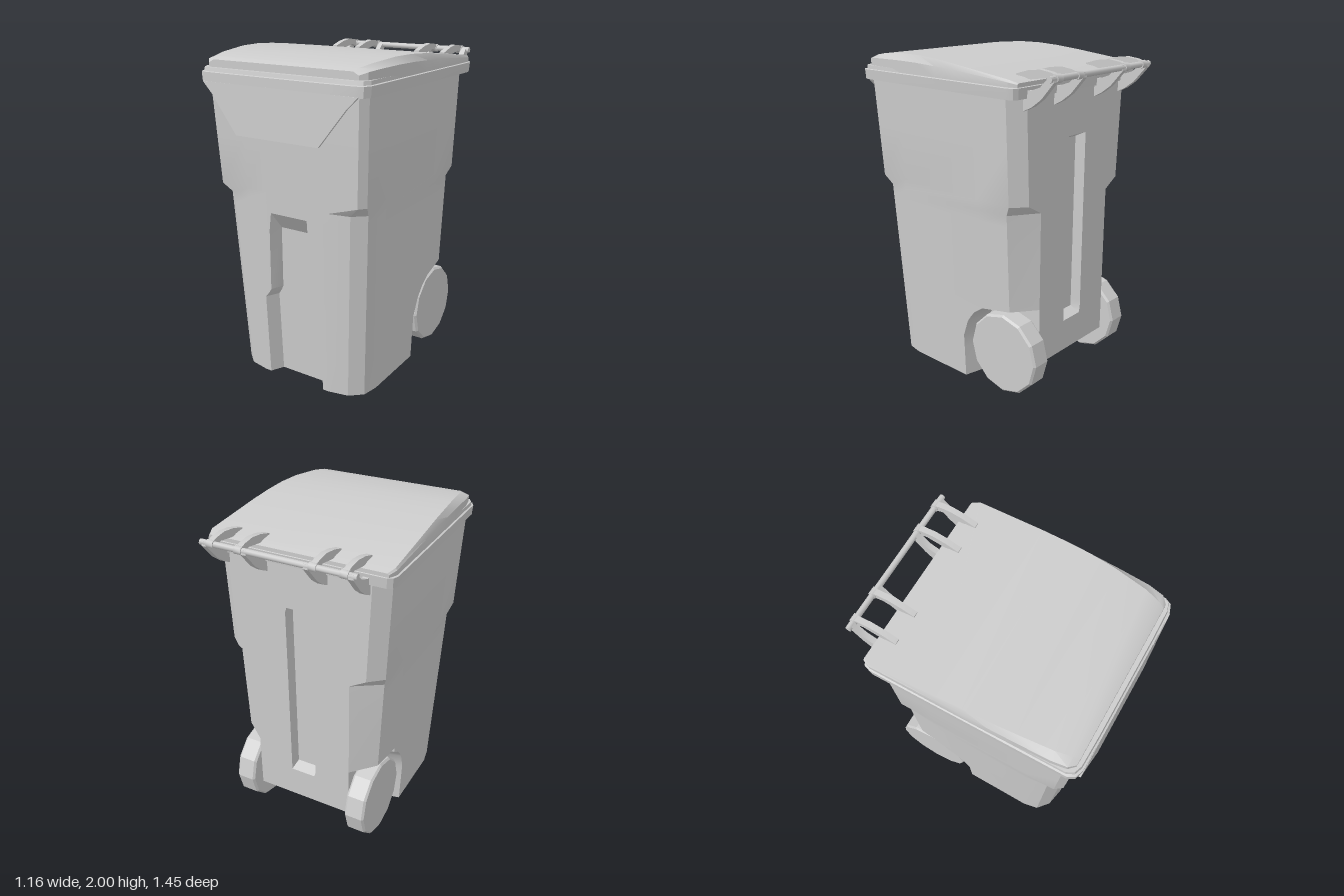
import * as THREE from 'three';
import { toCreasedNormals } from 'three/addons/utils/BufferGeometryUtils.js';

const material = new THREE.MeshStandardMaterial({ color: 0xcccccc });

function add(parent, name, geometry, x = 0, y = 0, z = 0, crease = 0.45) {
  const mesh = new THREE.Mesh(toCreasedNormals(geometry, crease), material);
  mesh.name = name;
  mesh.position.set(x, y, z);
  parent.add(mesh);
  return mesh;
}

// Skin matching loops of [x, y, z] and close both ends; flat() projects a point for the caps.
function loft(loops, flat) {
  const n = loops[0].length;
  const index = [];
  for (let r = 0; r < loops.length - 1; r++) {
    for (let i = 0; i < n; i++) {
      const a = r * n + i, b = r * n + (i + 1) % n;
      index.push(a, b, b + n, a, b + n, a + n);
    }
  }
  const cap = (loop, base, flip) => {
    const tris = THREE.ShapeUtils.triangulateShape(loop.map((p) => new THREE.Vector2(...flat(p))), []);
    for (const [a, b, c] of tris) index.push(base + a, base + (flip ? c : b), base + (flip ? b : c));
  };
  cap(loops[0], 0, true);
  cap(loops[loops.length - 1], (loops.length - 1) * n, false);
  const geometry = new THREE.BufferGeometry();
  geometry.setAttribute('position', new THREE.Float32BufferAttribute(loops.flat(2), 3));
  geometry.setIndex(index);
  return geometry;
}

// Complete a half outline (x > 0) with its mirror image.
const mirrored = (half) => [...half, ...half.map(([x, y, z]) => [-x, y, z]).reverse()];
const fromAbove = ([x, , z]) => [x, -z];
const fromFront = ([x, y]) => [x, y];

// One horizontal section of the bin: front channel, front corner, rear corner or wheel well, rear slot.
function bodySection([y, floorX, edgeX, depth, slot, wellZ]) {
  const xs = 0.46 + 0.041 * y, zf = 0.59 + 0.044 * y;
  const zb = y === 0 ? -0.3 : -0.53;
  const front = y > 1.2
    ? [[0.28, zf], [xs - 0.035, zf], [xs, zf - 0.045], [xs, 0.4]]
    : [[0.24 + 0.035 * y, zf], [xs - 0.095, zf - 0.025], [xs - 0.02, zf - 0.09], [xs, 0.4]];
  let back;
  if (wellZ) back = [[xs, wellZ], [0.32, wellZ - 0.035], [0.32, zb]];
  else if (y > 1.2) back = [[xs, -0.22], [xs, -0.455], [xs - 0.085, zb]];
  else back = [[xs, -0.22], [xs - 0.02, -0.42], [0.32, zb]];
  const half = [[floorX, zf - depth], [edgeX, zf], ...front, ...back, [0.085, zb], [0.075, zb + slot]];
  return mirrored(half.map(([x, z]) => [x, y, z]));
}

// Rounded outline of the lid rim.
function rimSection([y, x, zf, zb]) {
  const f = x - 0.012;
  return mirrored([
    [0.3, zf], [f - 0.07, zf - 0.004], [f - 0.025, zf - 0.02], [f - 0.004, zf - 0.06],
    [x, zb + 0.05], [x - 0.012, zb + 0.015], [x - 0.04, zb],
  ].map(([px, pz]) => [px, y, pz]));
}

// Plate with a side outline of [z, y] points.
function plate(outline, width) {
  const shape = new THREE.Shape(outline.map((p) => new THREE.Vector2(...p)));
  return new THREE.ExtrudeGeometry(shape, { depth: width, bevelEnabled: false })
    .translate(0, 0, -width / 2).rotateY(-Math.PI / 2);
}

export function createModel() {
  const model = new THREE.Group();
  model.name = 'wheeledBin';

  // Body: height, channel floor x, channel edge x, channel depth, slot depth, wheel well front z
  const sections = [
    [0, 0.16, 0.2, 0.08, 0, -0.05],
    [0.2, 0.16, 0.2, 0.08, 0, -0.05],
    [0.29, 0.16, 0.2, 0.08, 0, -0.05],
    [0.4, 0.16, 0.2, 0.08, 0, -0.09],
    [0.43, 0.16, 0.2, 0.08, 0.065, -0.11],
    [0.48, 0.16, 0.2, 0.08, 0.065, -0.15],
    [0.53, 0.16, 0.2, 0.08, 0.065, -0.22],
    [0.56, 0.14, 0.175, 0.08, 0.065],
    [0.59, 0.125, 0.155, 0.08, 0.065],
    [0.98, 0.11, 0.138, 0.08, 0.065],
    [1.09, 0.12, 0.135, 0, 0.065],
    [1.16, 0.12, 0.135, 0, 0.065],
    [1.22, 0.12, 0.135, 0, 0.065],
    [1.53, 0.12, 0.135, 0, 0.065],
    [1.56, 0.12, 0.135, 0, 0],
    [1.84, 0.12, 0.135, 0, 0],
  ];
  add(model, 'body', loft(sections.map(bodySection), fromAbove));

  // Lid rim in two steps
  const rim = [
    [1.825, 0.575, 0.715, -0.545], [1.885, 0.58, 0.715, -0.55],
    [1.888, 0.57, 0.705, -0.545], [1.91, 0.568, 0.7, -0.54],
  ];
  add(model, 'lidRim', loft(rim.map(rimSection), fromAbove), 0, 0, 0, 0.35);

  // Domed lid, back to front: z, shoulder x, shoulder y, top x, top y
  const dome = [
    [-0.55, 0.55, 1.905, 0.54, 1.912], [-0.5, 0.57, 1.915, 0.562, 1.928],
    [-0.1, 0.567, 1.945, 0.553, 1.975], [0.05, 0.565, 1.952, 0.547, 1.99],
    [0.2, 0.562, 1.958, 0.54, 1.999], [0.35, 0.558, 1.96, 0.527, 1.999],
    [0.55, 0.55, 1.957, 0.503, 1.983], [0.64, 0.535, 1.95, 0.48, 1.968],
    [0.675, 0.5, 1.935, 0.465, 1.953],
  ].map(([z, w, ys, wt, yt]) => mirrored([[w, 1.89, z], [w, ys, z], [wt, yt, z]]));
  add(model, 'lidDome', loft(dome, fromFront));

  // Front flap hanging below the rim
  const flap = new THREE.Shape([
    [-0.28, 0], [0.28, 0], [0.45, 0.215], [0.475, 0.24], [0.52, 0.285], [-0.52, 0.285], [-0.475, 0.24], [-0.45, 0.215],
  ].map((p) => new THREE.Vector2(...p)));
  const flapMesh = add(model, 'frontFlap',
    new THREE.ExtrudeGeometry(flap, { depth: 0.014, bevelEnabled: false }), 0, 1.547, 0.711);
  flapMesh.rotation.x = -0.035;

  // Handle bar with lid hinge arms and body brackets
  const handle = new THREE.Group();
  handle.name = 'handle';
  handle.position.x = 0.015;
  model.add(handle);
  add(handle, 'handleBar', new THREE.CylinderGeometry(0.018, 0.018, 0.94, 8).rotateZ(Math.PI / 2), 0, 1.937, -0.702, 0.9);
  const arm = plate([
    [-0.44, 1.92], [-0.44, 1.942], [-0.52, 1.965], [-0.6, 1.975], [-0.67, 1.966], [-0.715, 1.95],
    [-0.722, 1.93], [-0.7, 1.915], [-0.64, 1.935], [-0.54, 1.92],
  ], 0.034);
  const bracket = plate([
    [-0.52, 1.87], [-0.52, 1.755], [-0.58, 1.785], [-0.64, 1.83], [-0.72, 1.922], [-0.715, 1.95],
    [-0.69, 1.95], [-0.63, 1.89], [-0.56, 1.865],
  ], 0.034);
  for (const side of [-1, 1]) {
    for (const x of [0.223, 0.402]) {
      add(handle, 'hingeArm', arm, side * x);
      add(handle, 'armCollar', new THREE.CylinderGeometry(0.024, 0.024, 0.045, 8).rotateZ(Math.PI / 2),
        side * x, 1.937, -0.702, 0.9);
    }
    for (const x of [0.188, 0.437]) add(handle, 'handleBracket', bracket, side * x);
  }

  // Twelve-sided wheels on a hidden axle
  const profile = [[0, -0.065], [0.243, -0.065], [0.255, -0.052], [0.255, 0.052], [0.243, 0.065], [0, 0.065]];
  for (const side of [-1, 1]) {
    const wheel = new THREE.LatheGeometry(profile.map((p) => new THREE.Vector2(...p)), 12).rotateZ(Math.PI / 2);
    add(model, 'wheel', wheel, side * 0.397, 0.265, -0.36, 0.3);
  }
  add(model, 'axle', new THREE.CylinderGeometry(0.03, 0.03, 0.76, 10).rotateZ(Math.PI / 2), 0, 0.265, -0.36, 0.9);

  return model;
}
